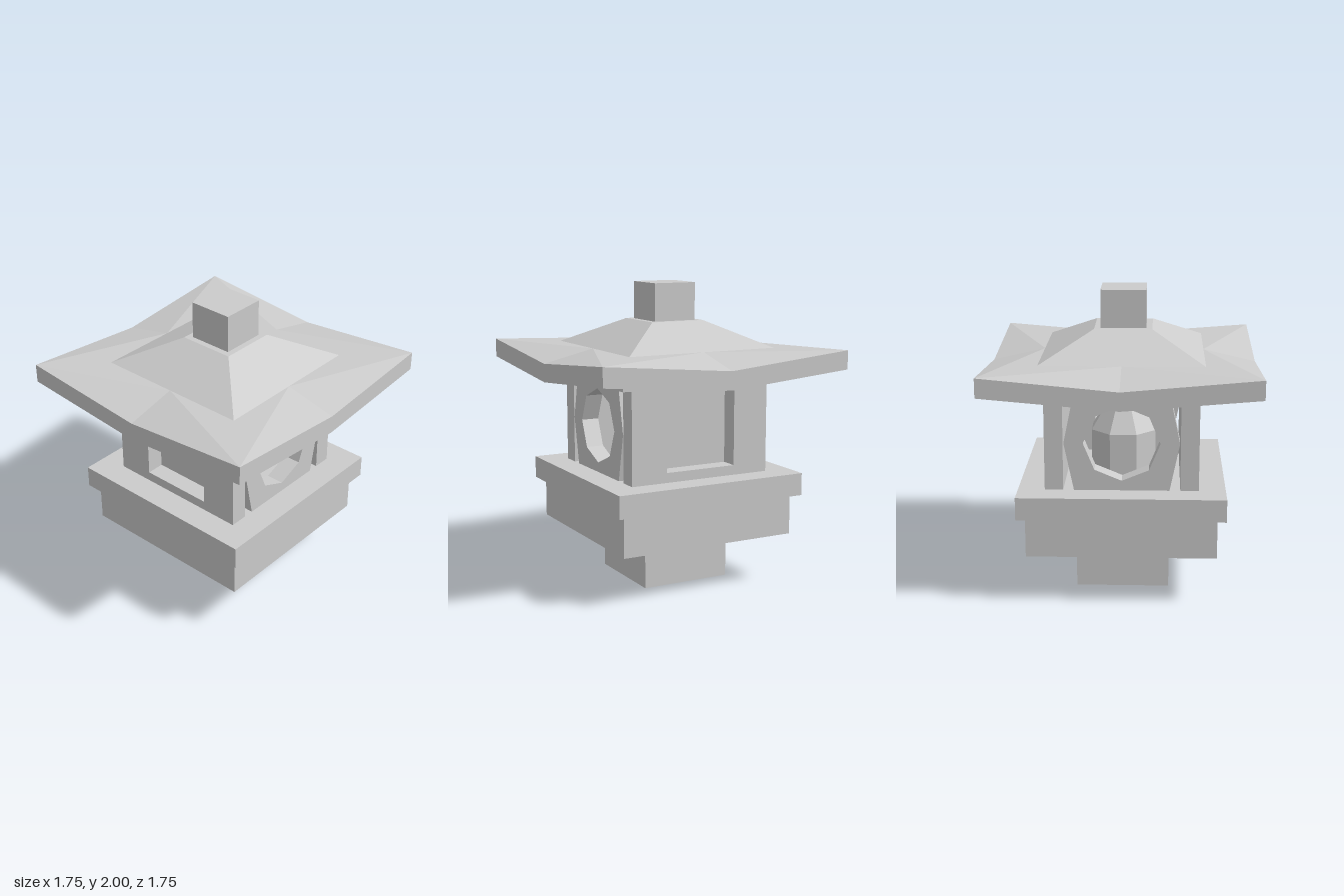
import * as THREE from 'three';

const material = new THREE.MeshStandardMaterial({ color: 0xcccccc, flatShading: true });
const openMaterial = new THREE.MeshStandardMaterial({ color: 0xcccccc, flatShading: true, side: THREE.DoubleSide });

function mesh(name, geometry, mat = material) {
  const m = new THREE.Mesh(geometry, mat);
  m.name = name;
  return m;
}

// Square block centred on the axis, from y0 to y1
function block(name, half, y0, y1) {
  const m = mesh(name, new THREE.BoxGeometry(half * 2, y1 - y0, half * 2));
  m.position.y = (y0 + y1) / 2;
  return m;
}

const toPoints = (list) => list.map(([x, y]) => new THREE.Vector2(x, y));

// Flat plate with a hole, its outer face at z = 0.5
function plate(name, outline, hole, depth) {
  const shape = new THREE.Shape(toPoints(outline));
  shape.holes.push(new THREE.Path(toPoints(hole)));
  const geometry = new THREE.ExtrudeGeometry(shape, { depth, bevelEnabled: false });
  geometry.translate(0, 0, 0.5 - depth);
  return mesh(name, geometry);
}

const rect = (w, y0, y1) => [[-w, y0], [w, y0], [w, y1], [-w, y1]];

// Roof skin: square rings of corners and edge midpoints, joined from below to the top
function roofGeometry() {
  const around = [[1, 1], [0, 1], [-1, 1], [-1, 0], [-1, -1], [0, -1], [1, -1], [1, 0]];
  // half width, corner height, midpoint height
  const rings = [
    [0.62, 1.46, 1.46],
    [0.875, 1.455, 1.38],
    [0.875, 1.58, 1.5],
    [0.53, 1.58, 1.58],
    [0.19, 1.75, 1.75],
    [0, 1.75, 1.75],
  ];
  const point = (j, i) => {
    const [half, corner, mid] = rings[j];
    const [x, z] = around[i % 8];
    return [x * half, i % 2 ? mid : corner, z * half];
  };
  const positions = [];
  for (let j = 0; j < rings.length - 1; j++) {
    for (let i = 0; i < 8; i++) {
      const a = point(j, i), b = point(j, i + 1);
      const c = point(j + 1, i), d = point(j + 1, i + 1);
      // the fold runs from the outer corner to the inner midpoint
      const fold = (i % 2 === 1) !== (j === 0);
      const tris = fold ? [b, a, c, b, c, d] : [b, a, d, a, c, d];
      tris.forEach((p) => positions.push(...p));
    }
  }
  const geometry = new THREE.BufferGeometry();
  geometry.setAttribute('position', new THREE.Float32BufferAttribute(positions, 3));
  geometry.computeVertexNormals();
  return geometry;
}

export function createModel() {
  const lantern = new THREE.Group();
  lantern.name = 'stoneLantern';

  // Hollow foot, open underneath
  const foot = mesh('foot', new THREE.CylinderGeometry(0.31 * Math.SQRT2, 0.31 * Math.SQRT2, 0.33, 4, 1, true), openMaterial);
  foot.rotation.y = Math.PI / 4;
  foot.position.y = 0.165;
  lantern.add(foot);

  // Stepped platform
  lantern.add(block('lowerSlab', 0.62, 0.33, 0.6));
  lantern.add(block('upperSlab', 0.675, 0.6, 0.75));

  // Front and back walls with recessed square windows
  const windowHole = rect(0.25, 0.815, 1.315);
  for (const [name, angle] of [['front', 0], ['back', Math.PI]]) {
    const wall = new THREE.Group();
    wall.name = name + 'Wall';
    wall.add(plate('windowFrame', rect(0.5, 0.75, 1.38), windowHole, 0.12));
    const pane = mesh('windowPane', new THREE.PlaneGeometry(0.5, 0.5), openMaterial);
    pane.position.set(0, 1.065, 0.38);
    wall.add(pane);
    wall.rotation.y = angle;
    lantern.add(wall);
  }

  // Side walls with octagonal openings
  const octagon = [];
  for (let i = 0; i < 8; i++) {
    const t = (i * Math.PI) / 4;
    octagon.push([0.25 * Math.cos(t), 1.065 + 0.25 * Math.sin(t)]);
  }
  const sideOutline = [[-0.31, 0.75], [0.31, 0.75], [0.375, 1.065], [0.31, 1.38], [-0.31, 1.38], [-0.375, 1.065]];
  for (const side of [1, -1]) {
    const wall = plate(side > 0 ? 'leftWall' : 'rightWall', sideOutline, octagon, 0.12);
    wall.rotation.y = (side * Math.PI) / 2;
    lantern.add(wall);
  }

  // Faceted flame inside the chamber
  const flameProfile = toPoints([[0.233, 0.75], [0.233, 1.04], [0.122, 1.215], [0, 1.3]]);
  lantern.add(mesh('flame', new THREE.LatheGeometry(flameProfile, 8, Math.PI / 8)));

  // Ceiling slab, curved roof and finial
  lantern.add(block('ceilingSlab', 0.62, 1.38, 1.48));
  lantern.add(mesh('roof', roofGeometry()));
  lantern.add(block('finial', 0.15, 1.74, 2));

  return lantern;
}
